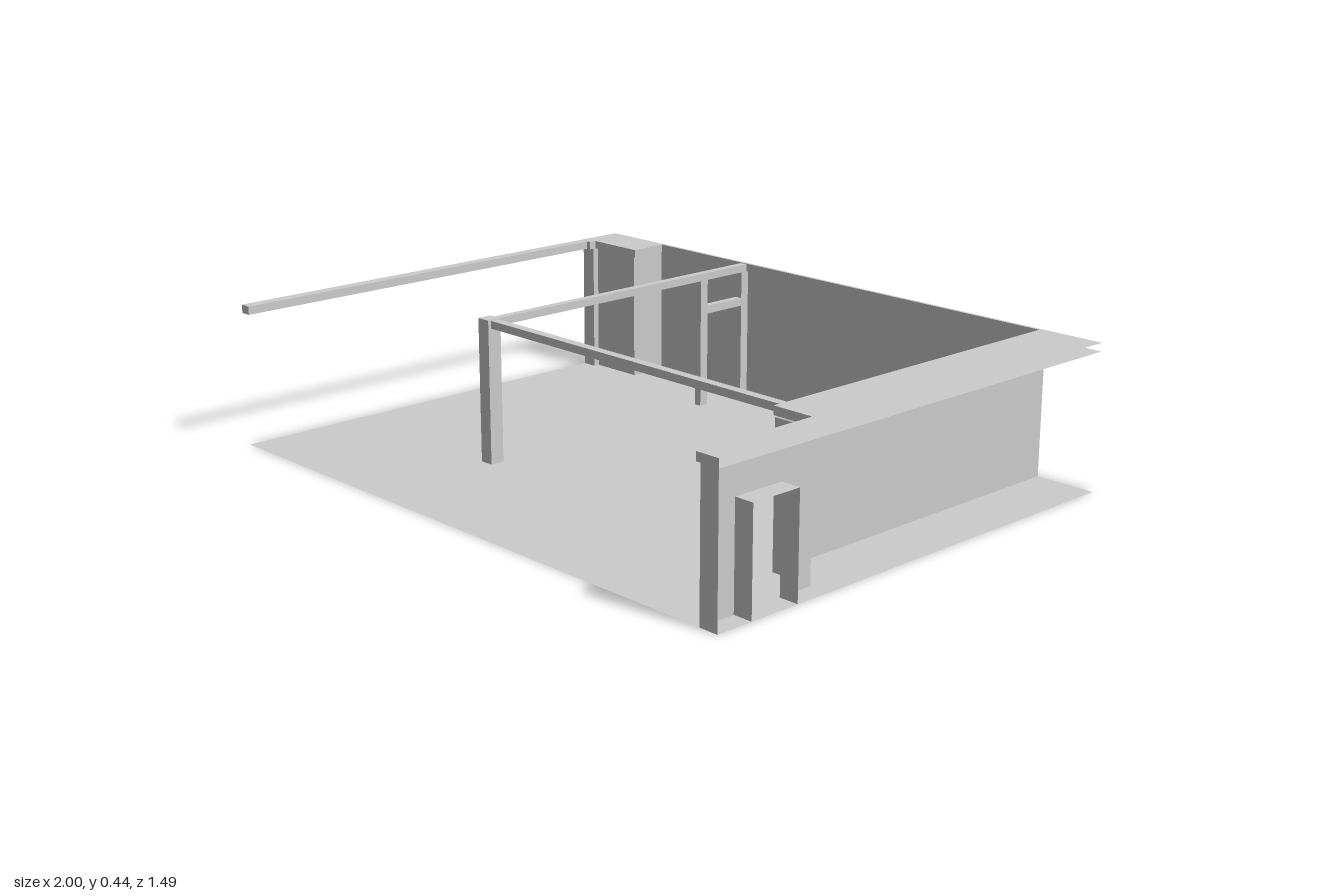
import * as THREE from 'three';

const material = new THREE.MeshStandardMaterial({ color: 0xcccccc, side: THREE.DoubleSide });

export function createModel() {
  const model = new THREE.Group();
  const add = (name, geometry) => {
    const mesh = new THREE.Mesh(geometry, material);
    mesh.name = name;
    model.add(mesh);
    return mesh;
  };

  // Box given by its limits on each axis
  const box = (name, x0, x1, y0, y1, z0, z1) => {
    const mesh = add(name, new THREE.BoxGeometry(x1 - x0, y1 - y0, z1 - z0));
    mesh.position.set((x0 + x1) / 2, (y0 + y1) / 2, (z0 + z1) / 2);
  };

  // Upright sheet following a plan path of [x, z] points
  const ribbon = (name, path, levels) => {
    const positions = [];
    for (let i = 0; i < path.length - 1; i++) {
      const [ax, az] = path[i], [bx, bz] = path[i + 1];
      for (let j = 0; j < levels.length - 1; j++) {
        const lo = levels[j], hi = levels[j + 1];
        positions.push(ax, lo, az, bx, lo, bz, bx, hi, bz, ax, lo, az, bx, hi, bz, ax, hi, az);
      }
    }
    const geometry = new THREE.BufferGeometry();
    geometry.setAttribute('position', new THREE.Float32BufferAttribute(positions, 3));
    geometry.computeVertexNormals();
    add(name, geometry);
  };

  // Flat sheet from a plan outline of [x, z] points
  const sheet = (name, outline, y) => {
    const shape = new THREE.Shape(outline.map(([x, z]) => new THREE.Vector2(x, -z)));
    add(name, new THREE.ShapeGeometry(shape).rotateX(-Math.PI / 2).translate(0, y, 0));
  };

  const wallTop = 0.41, capTop = 0.435, depth = 0.745;

  sheet('floor', [[-1, depth], [1, depth], [1, -depth], [-1, -depth]], 0);

  // Stepped wall around the back and the left side
  ribbon('wall', [
    [-1, -0.6], [-0.95, -0.6], [-0.95, -0.62], [-0.77, -0.62], [-0.77, -depth],
    [0.81, -depth], [0.81, 0.36], [0.94, 0.36],
  ], [0, 0.145, wallTop]);
  ribbon('wallEnd', [[0.94, depth], [1, depth]], [0, wallTop]);

  // Wall with a doorway, and the reveal around the opening
  const doorBack = 0.47, doorFront = 0.63, doorTop = 0.3;
  const doorWall = new THREE.Shape([
    [0.36, 0], [doorBack, 0], [doorBack, doorTop], [doorFront, doorTop],
    [doorFront, 0], [depth, 0], [depth, wallTop], [0.36, wallTop],
  ].map(([z, y]) => new THREE.Vector2(z, y)));
  add('doorWall', new THREE.ShapeGeometry(doorWall).rotateY(-Math.PI / 2).translate(0.94, 0, 0));
  for (const z of [doorBack, doorFront]) ribbon('doorJamb', [[0.94, z], [1, z]], [0, doorTop]);
  sheet('doorHead', [[0.94, doorFront], [1, doorFront], [1, doorBack], [0.94, doorBack]], doorTop);

  // Coping on top of the walls: two sheets joined along the inner edge
  const innerEdge = [
    [1, depth], [0.925, depth], [0.925, 0.35], [0.795, 0.35], [0.795, -0.735], [-0.755, -0.735],
    [-0.755, -0.61], [-0.95, -0.61], [-0.95, -0.585], [-0.965, -0.585], [-0.965, depth], [-1, depth],
  ];
  const coping = [...innerEdge, [-1, -depth], [1, -depth]];
  sheet('copingUnderside', coping, wallTop);
  sheet('copingTop', coping, capTop);
  ribbon('copingInnerEdge', innerEdge, [wallTop, capTop]);

  // Corner post and the two beams it carries
  box('cornerPost', -0.395, -0.35, 0, capTop, 0.29, 0.335);
  box('sideBeam', -0.385, -0.36, wallTop, 0.433, -0.74, 0.29);
  box('frontBeam', -0.35, 0.8, wallTop, 0.433, 0.297, 0.325);

  // Door frame below the side beam
  for (const z of [-0.742, -0.56]) box('framePost', -0.385, -0.36, 0, wallTop, z, z + 0.03);
  box('frameLintel', -0.385, -0.36, 0.3, 0.325, -0.712, -0.56);

  return model;
}
